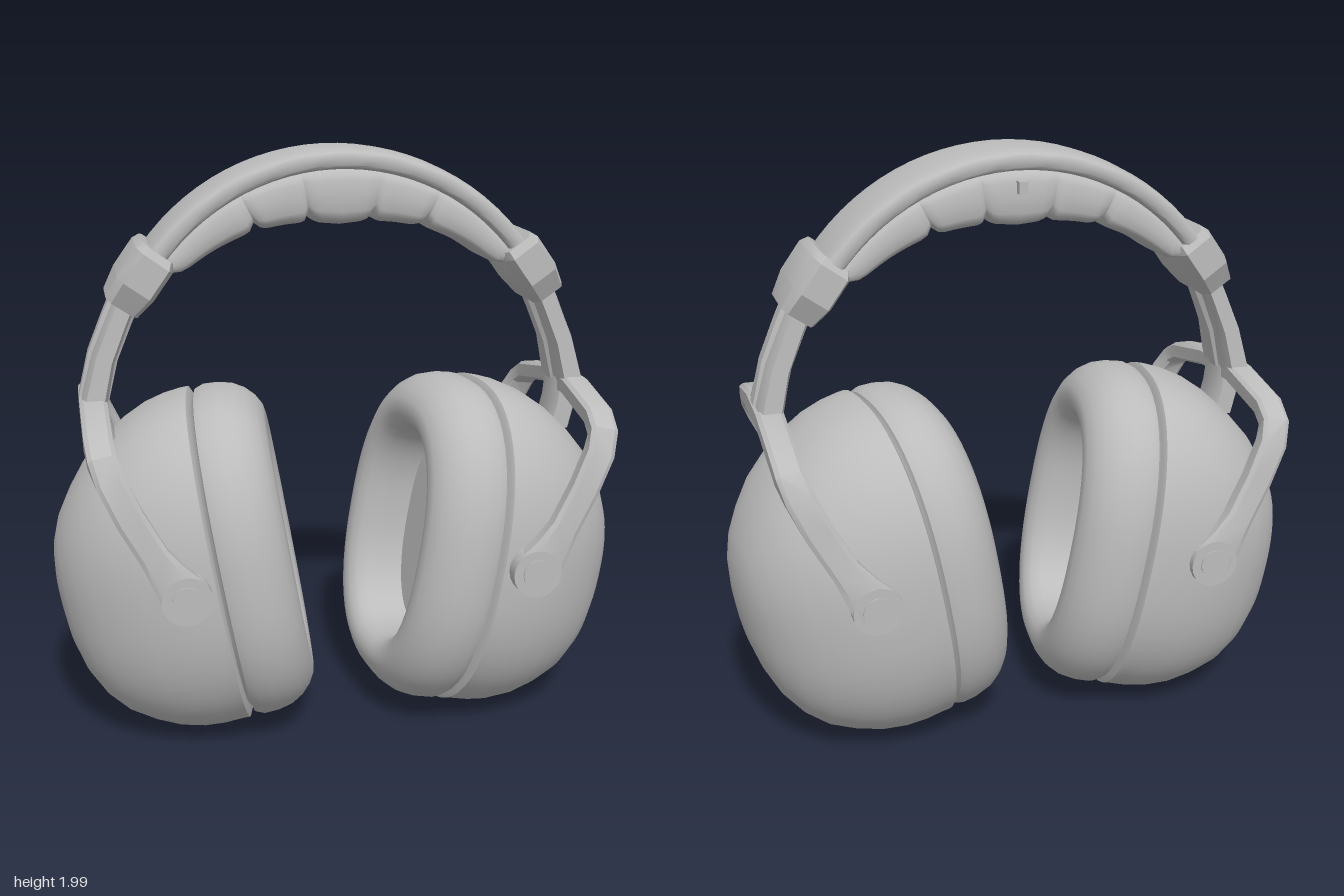
import * as THREE from 'three';
import { toCreasedNormals } from 'three/addons/utils/BufferGeometryUtils.js';

const V = (x, y, z) => new THREE.Vector3(x, y, z);
const grey = new THREE.MeshStandardMaterial({ color: 0xbcbcbc });
grey.name = 'light grey';

// Cross-section outlines in the range -1..1
const chamfered = [[1, -.7], [1, .7], [.7, 1], [-.7, 1], [-1, .7], [-1, -.7], [-.7, -1], [.7, -1]];
function superellipse(count, n) {
  const f = c => Math.sign(c) * Math.abs(c) ** (2 / n);
  return Array.from({ length: count }, (_, i) => {
    const a = i / count * Math.PI * 2;
    return [f(Math.cos(a)), f(Math.sin(a))];
  });
}

// Closed solid skinned over rings of equal length, with fan caps
function loft(rings, crease = 0.6) {
  const n = rings[0].length, pts = rings.flat(), index = [];
  for (let i = 0; i < rings.length - 1; i++) {
    for (let j = 0; j < n; j++) {
      const a = i * n + j, b = i * n + (j + 1) % n;
      index.push(a, b, a + n, b, b + n, a + n);
    }
  }
  for (const i of [0, rings.length - 1]) {
    const c = pts.length;
    pts.push(rings[i].reduce((s, p) => s.add(p), V(0, 0, 0)).divideScalar(n));
    for (let j = 0; j < n; j++) {
      const a = i * n + j, b = i * n + (j + 1) % n;
      if (i === 0) index.push(c, b, a); else index.push(c, a, b);
    }
  }
  // Turn the faces outward
  let volume = 0;
  for (let i = 0; i < index.length; i += 3) {
    volume += pts[index[i]].dot(V(0, 0, 0).crossVectors(pts[index[i + 1]], pts[index[i + 2]]));
  }
  if (volume < 0) index.reverse();
  const geo = new THREE.BufferGeometry().setFromPoints(pts);
  geo.setIndex(index);
  return toCreasedNormals(geo, crease);
}

// Section swept along a path; size is [half width along ref, half thickness]
function sweep(path, ref, sizes, section = chamfered, crease = 0.6) {
  return loft(path.map((p, i) => {
    const t = path[Math.min(i + 1, path.length - 1)].clone().sub(path[Math.max(i - 1, 0)]).normalize();
    const side = ref.clone().addScaledVector(t, -ref.dot(t)).normalize();
    const other = t.clone().cross(side);
    const [a, b] = Array.isArray(sizes[0]) ? sizes[i] : sizes;
    return section.map(([x, y]) => p.clone().addScaledVector(side, a * x).addScaledVector(other, b * y));
  }), crease);
}

// Oval shell along x from rows of [x, half height, centre height, half width]
function ovalShell(rows) {
  const outline = superellipse(56, 2.4);
  const geo = loft(rows.map(([t, h, c, w]) => outline.map(([a, b]) => V(t, c + h * b, w * a))), 0.7);
  return geo.rotateZ(-0.174).rotateY(0.125).translate(0.41, 0.61, -0.018);
}

function mirrored(geo) {
  const g = geo.index ? geo.toNonIndexed() : geo.clone();
  g.scale(-1, 1, 1);
  for (const attr of Object.values(g.attributes)) {
    for (let i = 0; i < attr.count; i += 3) {
      for (let k = 0; k < attr.itemSize; k++) {
        const v = attr.getComponent(i + 1, k);
        attr.setComponent(i + 1, k, attr.getComponent(i + 2, k));
        attr.setComponent(i + 2, k, v);
      }
    }
  }
  return g;
}

export function createModel() {
  const model = new THREE.Group();
  model.name = 'earDefenders';
  const add = (name, geo) => {
    const mesh = new THREE.Mesh(geo, grey);
    mesh.name = name;
    model.add(mesh);
  };
  const addPair = (name, geo) => {
    add(name + 'Left', geo);
    add(name + 'Right', mirrored(geo));
  };
  const zAxis = V(0, 0, 1), xAxis = V(1, 0, 0);
  const arc = (deg, r, z = -0.03) => {
    const a = deg * Math.PI / 180;
    return V(r * Math.sin(a), 1.2 + r * Math.cos(a), z);
  };

  // Headband cover: curved strap with a gently crowned top
  const strap = [], crowned = superellipse(28, 5).map(([a, b]) => [a, b > 0 ? b * (1 - 0.25 * a * a) : b]);
  for (let d = 58; d >= -58; d -= 4) {
    strap.push(crowned.map(([a, b]) => arc(d, 0.763 + 0.037 * b, -0.03 + 0.15 * a)));
  }
  add('headbandCover', loft(strap, 0.7));
  add('headbandNub', new THREE.BoxGeometry(0.03, 0.04, 0.03).translate(0, 1.88, -0.18));

  // Five puffed pads under the headband, touching at the seams
  const padOutline = superellipse(24, 4);
  [[-54, -27], [-27, -10.5], [-10.5, 10.5], [10.5, 27], [27, 54]].forEach(([from, to], k) => {
    const rings = [];
    for (let i = 0; i <= 12; i++) {
      const u = i / 6 - 1, deg = from + (to - from) * i / 12;
      const inner = 0.545 + 0.11 * Math.abs(deg / 52) ** 1.2 + 0.03 * Math.abs(u) ** 8;
      const mid = (inner + 0.74) / 2, half = (0.74 - inner) / 2;
      const width = 0.138 - 0.01 * Math.abs(u) ** 8;
      rings.push(padOutline.map(([a, b]) => arc(deg, mid + half * b, -0.03 + width * a)));
    }
    add('headbandPad' + (k + 1), loft(rings, 0.8));
  });

  // Clasps at the ends of the headband, in two tiers
  addPair('clasp', sweep(
    [V(.595, 1.675, -.02), V(.61, 1.655, -.02), V(.675, 1.565, -.02), V(.72, 1.5, -.02)],
    zAxis, [[.15, .06], [.178, .07], [.178, .07], [.135, .06]], chamfered, 0.4));

  // Curved arms with a raised centre rail
  const armPath = [V(.69, 1.55, -.02), V(.735, 1.45, -.02), V(.785, 1.33, -.02), V(.82, 1.19, -.02)];
  addPair('arm', sweep(armPath, zAxis, [[.1, .035], [.105, .036], [.11, .038], [.12, .042]]));
  addPair('armRail', sweep(armPath, zAxis, [.04, .05]));
  addPair('armFoot', sweep([V(.82, 1.2, -.012), V(.81, 1.1, -.012), V(.79, 1.015, -.012)], zAxis, [.075, .042]));

  // Yoke: one bar bent over the cup from pivot to pivot, flaring at the ends
  const half = [[.825, 1.17, .1], [.822, 1.125, .33], [.815, 1.085, .395], [.793, 1.025, .425],
    [.74, .91, .44], [.67, .785, .455], [.625, .715, .462], [.575, .645, .468]];
  const halfSize = [[.045, .032], [.045, .032], [.045, .032], [.047, .032],
    [.047, .03], [.047, .03], [.06, .03], [.08, .026]];
  const yoke = [
    ...half.map(([x, y, z]) => V(x, y, -z - 0.018)).reverse(),
    ...half.map(([x, y, z]) => V(x, y, z)),
  ];
  addPair('yoke', sweep(yoke, xAxis, [...halfSize.slice().reverse(), ...halfSize], chamfered, 0.5));

  // Pivot discs at the yoke ends
  for (const [name, z, out] of [['frontPivot', .465, 1], ['backPivot', -.483, -1]]) {
    const disc = new THREE.CylinderGeometry(.082, .082, .06, 20).rotateX(Math.PI / 2);
    addPair(name, disc.translate(.575, .642, z));
    const cap = new THREE.CylinderGeometry(.05, .05, .01, 20).rotateX(Math.PI / 2);
    addPair(name + 'Cap', cap.translate(.575, .642, z + out * .03));
  }

  // Ear cups: domed shells, fuller at the bottom
  addPair('earCup', ovalShell([
    [-.005, .565, 0, .455], [.003, .583, 0, .47], [.03, .583, 0, .47], [.09, .582, -.006, .466],
    [.16, .572, -.014, .455], [.24, .545, -.024, .435], [.32, .503, -.033, .402], [.4, .447, -.043, .357],
    [.465, .374, -.05, .3], [.515, .294, -.045, .235], [.546, .21, -.035, .167], [.563, .12, -.03, .096],
    [.57, .05, -.03, .04],
  ]));

  // Ear cushions: puffed oval rings with a recessed floor
  const cushion = [[.01, .05], [-.012, .03], [-.02, .008], [-.05, -.003], [-.1, 0], [-.15, .012], [-.19, .035],
    [-.22, .065], [-.24, .1], [-.245, .13], [-.237, .16], [-.215, .185], [-.18, .2], [-.12, .208], [-.05, .212]];
  addPair('earCushion', ovalShell(cushion.map(([t, d]) => [t, .578 - d, 0, .465 - d])));

  return model;
}
